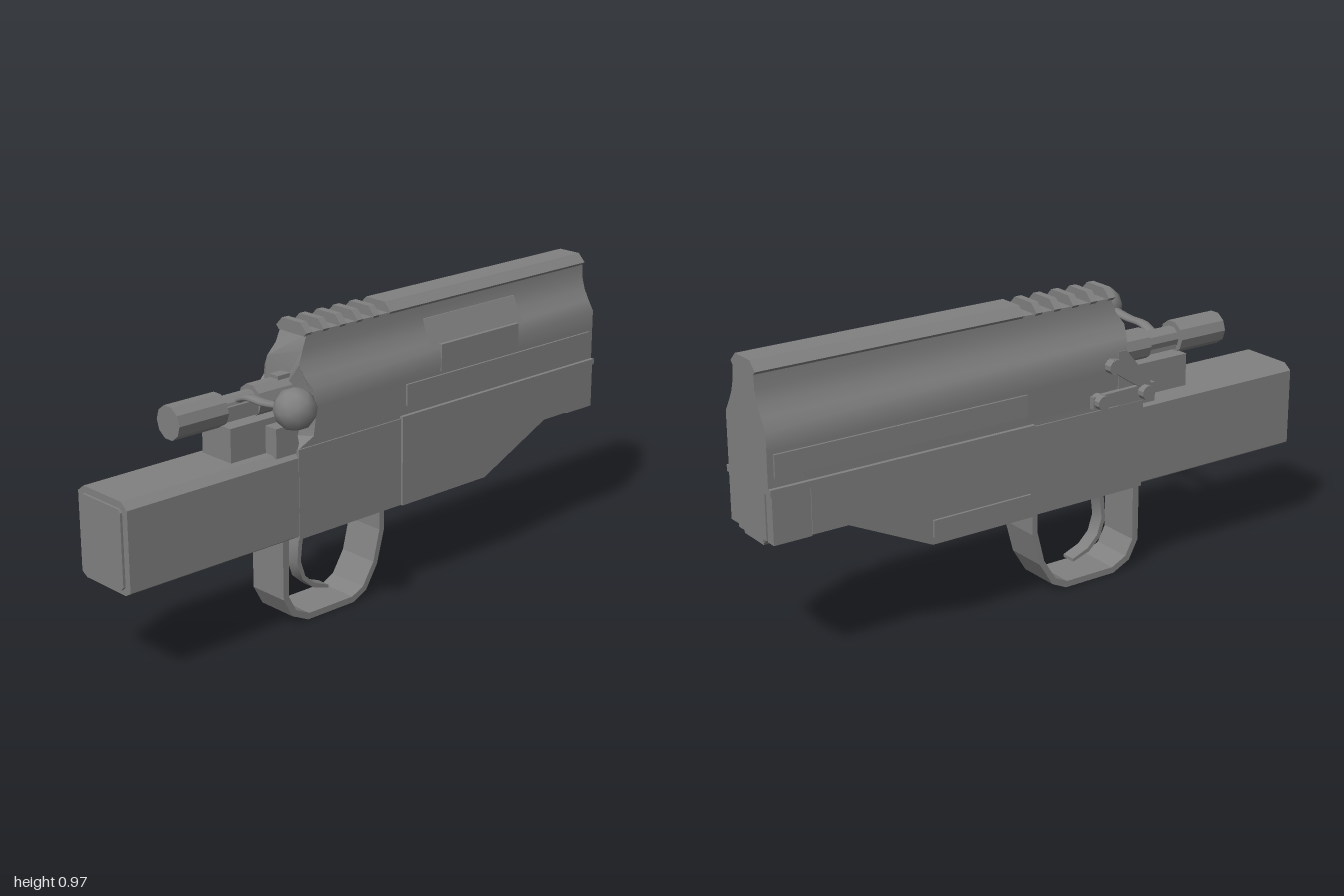
import * as THREE from 'three';
import { toCreasedNormals } from 'three/addons/utils/BufferGeometryUtils.js';

export function createModel() {
  const model = new THREE.Group();
  const body = new THREE.Group();
  body.name = 'body';
  // the whole body sits slightly turned and behind the side handle
  body.position.z = -0.08;
  body.rotation.y = -0.0105;
  model.add(body);

  const steel = new THREE.MeshStandardMaterial({ color: 0x808080 });
  steel.name = 'steel grey';

  const add = (name, geometry, x = 0, y = 0, z = 0) => {
    const mesh = new THREE.Mesh(geometry, steel);
    mesh.name = name;
    mesh.position.set(x, y, z);
    body.add(mesh);
    return mesh;
  };
  const shapeOf = (pts) => new THREE.Shape(pts.map(([a, b]) => new THREE.Vector2(a, b)));
  const extrude = (pts, depth) =>
    new THREE.ExtrudeGeometry(shapeOf(pts), { depth, bevelEnabled: false });
  const crease = (g, angle = 0.6) => toCreasedNormals(g, angle);

  // side outline in x, y between two z planes
  const side = (name, pts, z0, z1) => add(name, extrude(pts, z1 - z0).translate(0, 0, z0));
  // cross-section in z, y between two x planes
  const sectionGeo = (pts, x0, x1) =>
    extrude(pts.map(([z, y]) => [-z, y]), x1 - x0).rotateY(Math.PI / 2).translate(x0, 0, 0);
  const mirrored = (half) => [...half, ...half.slice().reverse().map(([z, y]) => [-z, y])];
  const box = (name, x0, x1, y0, y1, z0, z1) =>
    add(name, new THREE.BoxGeometry(x1 - x0, y1 - y0, z1 - z0),
      (x0 + x1) / 2, (y0 + y1) / 2, (z0 + z1) / 2);

  // upper housing with a shaped rear edge
  const half = [[0.115, 0.6], [0.115, 0.63], [0.115, 0.72], [0.115, 0.78], [0.093, 0.815],
    [0.074, 0.85], [0.062, 0.89], [0.06, 0.938]];
  const rearEdge = [[0.6, -0.35], [0.63, -0.285], [0.72, -0.27], [0.78, -0.285],
    [0.815, -0.3], [0.85, -0.305], [0.89, -0.28], [0.938, -0.26]];
  const upper = sectionGeo(mirrored(half), -0.27, 1);
  const pos = upper.attributes.position;
  for (let i = 0; i < pos.count; i++) {
    if (pos.getX(i) > 0) continue;
    const y = pos.getY(i);
    pos.setX(i, rearEdge.reduce((a, b) => (Math.abs(b[0] - y) < Math.abs(a[0] - y) ? b : a))[1]);
  }
  add('upperHousing', crease(upper));

  // top rail and its separate teeth
  const rail = mirrored([[0.058, 0.93], [0.07, 0.942], [0.042, 0.97]]);
  add('topRail', sectionGeo(rail, 0.08, 1));
  for (let i = 0; i < 5; i++) {
    const x = -0.27 + i * 0.07;
    add('railTooth', sectionGeo(rail, x, x + 0.025));
  }

  // side window panel
  box('windowLower', 0.26, 0.62, 0.72, 0.81, 0.08, 0.119);
  add('windowUpper', sectionGeo([[0.04, 0.805], [0.108, 0.805], [0.066, 0.89], [0.04, 0.89]], 0.23, 0.65));

  // lower front housing: two side walls around an open well
  const wall = [[0.08, 0.31], [0.46, 0.31], [0.75, 0.445], [0.87, 0.445], [0.87, 0.61], [0.08, 0.61]];
  side('frontWallLeft', wall, 0.092, 0.128);
  side('frontWallRight', wall, -0.128, -0.092);
  side('frontCore', [[0.08, 0.31], [0.13, 0.31], [0.13, 0.48], [0.62, 0.48], [0.62, 0.385],
    [0.75, 0.445], [1, 0.445], [1, 0.61], [0.08, 0.61]], -0.092, 0.092);
  for (const s of [-1, 1]) {
    const pair = (a, b) => [Math.min(s * a, s * b), Math.max(s * a, s * b)];
    box('frontBlock', 0.87, 0.995, 0.44, 0.59, ...pair(0.09, 0.125));
    box('frontLedge', 0.87, 1, 0.59, 0.61, ...pair(0.09, 0.128));
    box('sideStrip', 0.105, 0.98, 0.64, 0.71, ...pair(0.11, 0.122));
  }
  box('lowerStrip', 0.1, 0.46, 0.335, 0.39, -0.136, -0.12);
  add('frontLug', sectionGeo([[-0.07, 0.45], [-0.055, 0.418], [0.055, 0.418], [0.07, 0.45]], 0.95, 0.99));
  box('frontLugBase', 0.92, 1, 0.435, 0.455, -0.07, 0.07);

  // middle housing and rear stock with chamfered edges
  box('middleHousing', -0.35, 0.08, 0.31, 0.602, -0.12, 0.12);
  const stock = mirrored([[0.095, 0.308], [0.118, 0.322], [0.118, 0.576], [0.09, 0.597]]);
  add('rearStock', sectionGeo(stock, -0.992, -0.35));
  add('rearPlate', sectionGeo(mirrored([[0.085, 0.325], [0.095, 0.335], [0.095, 0.565], [0.085, 0.575]]), -1, -0.99));
  box('stockUnderPlate', -0.96, -0.8, 0.302, 0.31, -0.07, 0.07);

  // bolt and its bed
  const rod = (name, r, x0, x1) =>
    add(name, new THREE.CylinderGeometry(r, r, x1 - x0, 10).rotateZ(Math.PI / 2)
      .toNonIndexed(), (x0 + x1) / 2, 0.748, -0.01).geometry.computeVertexNormals();
  rod('boltRear', 0.054, -0.74, -0.555);
  rod('boltNeck', 0.036, -0.56, -0.42);
  rod('boltFront', 0.052, -0.43, -0.2);
  box('boltBed', -0.565, -0.27, 0.59, 0.705, -0.075, 0.06);
  box('handleCollar', -0.55, -0.43, 0.715, 0.76, -0.04, 0.03);
  box('boltStop', -0.335, -0.28, 0.78, 0.808, -0.03, 0.01);

  // curved flat handle with a faceted knob
  const arm = new THREE.CatmullRomCurve3([
    [-0.49, 0.755, -0.01], [-0.49, 0.785, 0.05], [-0.49, 0.787, 0.13], [-0.49, 0.794, 0.19], [-0.49, 0.802, 0.25],
  ].map((p) => new THREE.Vector3(...p)));
  const armGeo = new THREE.TubeGeometry(arm, 12, 0.009, 8);
  armGeo.translate(0.49, 0, 0).scale(2.4, 1, 1).translate(-0.49, 0, 0);
  add('boltHandle', armGeo);
  add('handleKnob', new THREE.IcosahedronGeometry(0.066, 1), -0.487, 0.8, 0.264);

  // catch on the left side
  side('sideCatch', [[-0.43, 0.59], [-0.35, 0.59], [-0.34, 0.62], [-0.355, 0.685], [-0.43, 0.685]], 0.06, 0.11);

  // linkage on the right side
  side('linkCheek', [[-0.4, 0.59], [-0.25, 0.59], [-0.25, 0.78], [-0.28, 0.78], [-0.4, 0.64]], -0.118, -0.09);
  side('linkPlate', [[-0.385, 0.615], [-0.14, 0.615], [-0.14, 0.655], [-0.385, 0.66]], -0.134, -0.11);
  side('linkBar', [[-0.385, 0.65], [-0.36, 0.63], [-0.2, 0.735], [-0.215, 0.765], [-0.24, 0.76]], -0.138, -0.11);
  for (const [x, y, len] of [[-0.22, 0.74, 0.035], [-0.165, 0.638, 0.05], [-0.34, 0.638, 0.052]]) {
    add('linkPin', crease(new THREE.CylinderGeometry(0.024, 0.024, len, 10).rotateX(Math.PI / 2)),
      x, y, -0.108 - len / 2);
  }

  // finger guard loop
  side('fingerGuard', [
    [-0.38, 0.315], [-0.38, 0.1], [-0.345, 0.035], [-0.28, 0.004], [-0.085, 0.004], [-0.03, 0.03],
    [0.02, 0.11], [0.05, 0.22], [0.05, 0.315], [0.03, 0.315], [0.03, 0.225], [0.003, 0.12],
    [-0.043, 0.047], [-0.09, 0.025], [-0.275, 0.025], [-0.33, 0.052], [-0.358, 0.105], [-0.355, 0.315],
  ], -0.073, 0.073);

  // curved lever inside the guard
  const outer = [[-0.255, 0.315], [-0.275, 0.25], [-0.28, 0.18], [-0.26, 0.12], [-0.215, 0.08], [-0.15, 0.06]];
  const inner = [[-0.15, 0.07], [-0.21, 0.093], [-0.248, 0.13], [-0.266, 0.185], [-0.258, 0.25], [-0.235, 0.315]];
  const lever = extrude([...outer, ...inner], 0.05).translate(0, 0, -0.025);
  add('lever', crease(lever));

  return model;
}
